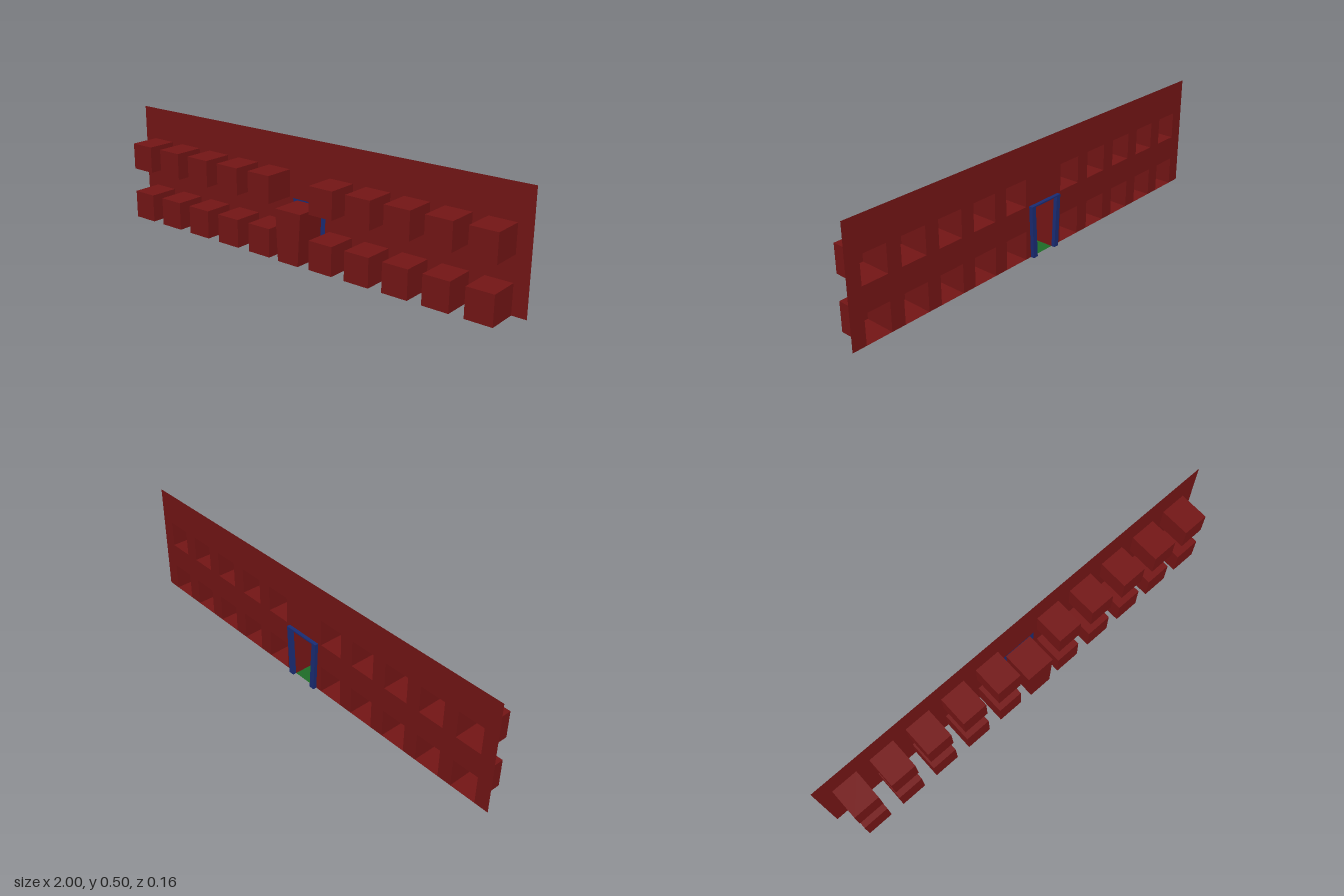
import * as THREE from 'three';

const RED = 0x741515, BLUE = 0x1a2c74, GREEN = 0x1e6c28;
const WALL_Z = -0.061;

function mat(color) {
  return new THREE.MeshStandardMaterial({ color, flatShading: true, side: THREE.DoubleSide });
}

function shapeFrom(points) {
  return new THREE.Shape(points.map(([x, y]) => new THREE.Vector2(x, y)));
}

// Flat-shaded surface from four-cornered faces
function quads(faces) {
  const pos = [];
  for (const [a, b, c, d] of faces) pos.push(...a, ...b, ...c, ...a, ...c, ...d);
  const g = new THREE.BufferGeometry();
  g.setAttribute('position', new THREE.Float32BufferAttribute(pos, 3));
  g.computeVertexNormals();
  return g;
}

// Hollow recess, open at the back; half widths at bottom and top may differ
function recess(x, y0, y1, wBottom, wTop, zFront) {
  const ring = z => [
    [x - wBottom, y0, z], [x + wBottom, y0, z], [x + wTop, y1, z], [x - wTop, y1, z],
  ];
  const b = ring(WALL_Z), f = ring(zFront);
  return {
    shell: quads([
      f,
      [f[1], b[1], b[2], f[2]],
      [f[3], f[2], b[2], b[3]],
      [b[0], f[0], f[3], b[3]],
    ]),
    floor: quads([[b[0], b[1], f[1], f[0]]]),
  };
}

export function createModel() {
  const model = new THREE.Group();
  const red = mat(RED), blue = mat(BLUE), green = mat(GREEN);
  const add = (name, geometry, material) => {
    const m = new THREE.Mesh(geometry, material);
    m.name = name;
    model.add(m);
  };

  // Five bays on each side of the door, two storeys
  const W = 0.058, LOW = 0.126, UP0 = 0.235, UP1 = 0.354;
  const right = [0, 1, 2, 3, 4].map(i => 0.164 + i * 0.179);
  const left = right.map(x => -x).reverse();

  // Thin wall, notched along the base for the lower bays and the door
  const notch = x => [[x - W, 0], [x - W, LOW], [x + W, LOW], [x + W, 0]];
  const doorway = [[-0.077, 0], [-0.088, 0.232], [0.088, 0.232], [0.077, 0]];
  const wall = shapeFrom([
    [-1, 0], ...left.flatMap(notch), ...doorway, ...right.flatMap(notch),
    [1, 0], [1, 0.5], [-1, 0.5],
  ]);
  for (const x of [...left, ...right]) {
    wall.holes.push(shapeFrom([[x - W, UP0], [x - W, UP1], [x + W, UP1], [x + W, UP0]]));
  }
  add('wall', new THREE.ShapeGeometry(wall).translate(0, 0, WALL_Z), red);

  // Window recesses
  for (const x of [...left, ...right]) {
    for (const [name, y0, y1] of [['lowerWindow', 0, LOW], ['upperWindow', UP0, UP1]]) {
      const r = recess(x, y0, y1, W, W, 0.073);
      add(name + 'Recess', r.shell, red);
      add(name + 'Sill', r.floor, red);
    }
  }

  // Tapered door recess with a green floor
  const door = recess(0, 0, 0.226, 0.053, 0.066, 0.078);
  add('doorRecess', door.shell, red);
  add('doorFloor', door.floor, green);

  // Door frame standing out behind the wall
  const frame = shapeFrom([
    ...doorway, [0.053, 0], [0.066, 0.226], [-0.066, 0.226], [-0.053, 0],
  ]);
  const frameGeo = new THREE.ExtrudeGeometry(frame, { depth: 0.016, bevelEnabled: false });
  add('doorFrame', frameGeo.translate(0, 0, WALL_Z - 0.016), blue);

  return model;
}
